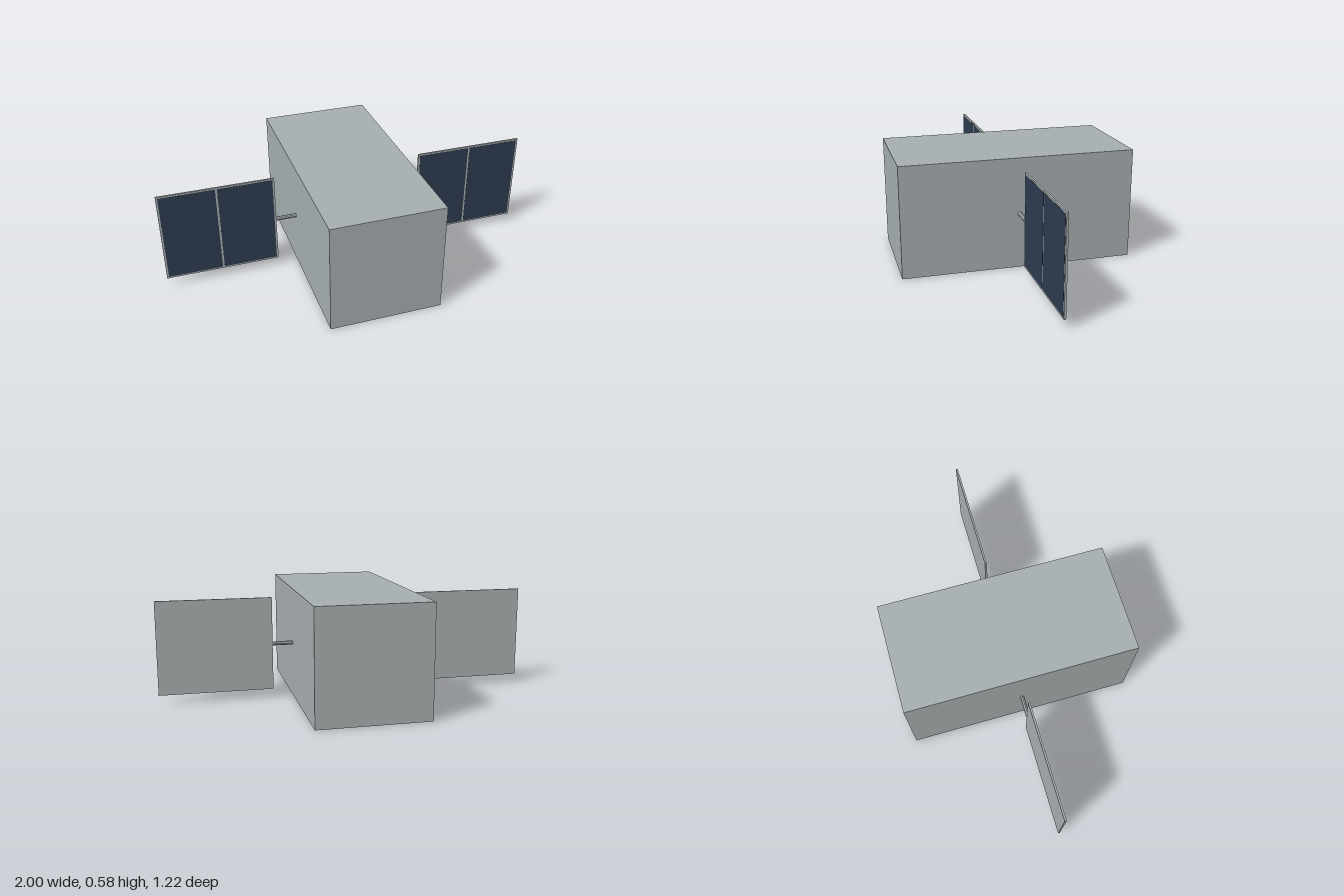
import * as THREE from 'three';

export function createModel() {
  const model = new THREE.Group();
  const hull = new THREE.MeshStandardMaterial({ color: 0xa6aeaf });
  hull.name = 'hullGrey';
  const solar = new THREE.MeshStandardMaterial({ color: 0x2d3b4e });
  solar.name = 'solarNavy';

  const midY = 0.2925;

  function box(name, w, h, d, x, y, z, material, parent) {
    const mesh = new THREE.Mesh(new THREE.BoxGeometry(w, h, d), material);
    mesh.name = name;
    mesh.position.set(x, y, z);
    parent.add(mesh);
    return mesh;
  }

  // Long square body
  box('body', 0.585, 0.585, 1.216, 0, midY, 0, hull, model);

  // One wing on each side: boom, backing panel and two solar cells
  for (const side of [-1, 1]) {
    const wing = new THREE.Group();
    wing.name = side > 0 ? 'leftWing' : 'rightWing';
    wing.position.y = midY;
    model.add(wing);

    const rod = new THREE.CylinderGeometry(0.011, 0.011, 0.11, 8).toNonIndexed();
    rod.computeVertexNormals();
    const boom = new THREE.Mesh(rod, hull);
    boom.name = 'boom';
    boom.rotation.z = Math.PI / 2;
    boom.position.x = side * 0.346;
    wing.add(boom);

    box('panel', 0.6, 0.495, 0.01, side * 0.7, 0, 0, hull, wing);
    for (const offset of [-0.1475, 0.1475]) {
      box('solarCell', 0.285, 0.477, 0.002, side * 0.7 + offset, 0, 0.005, solar, wing);
    }
  }

  return model;
}
